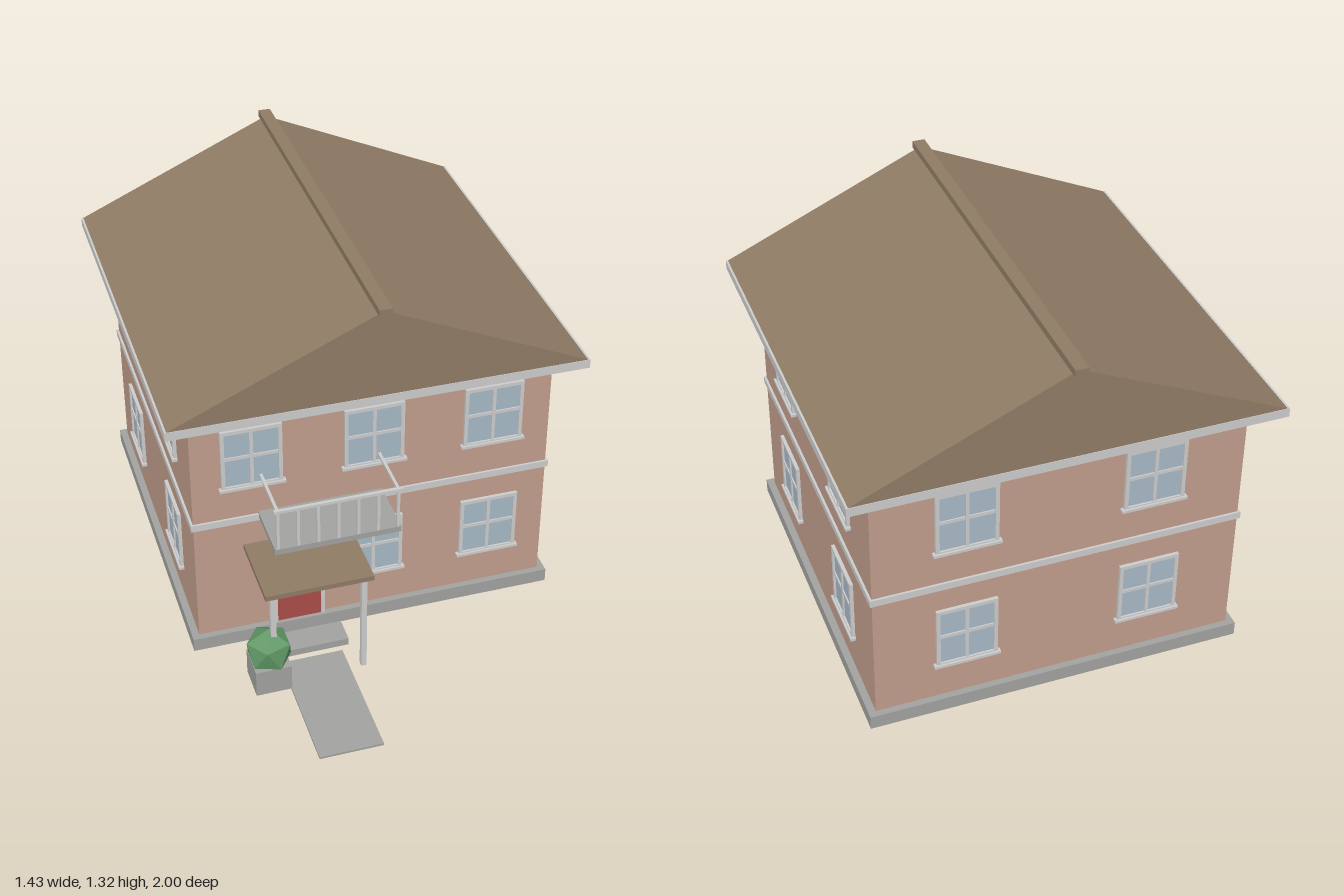
import * as THREE from 'three';

const mat = (name, color) => {
  const m = new THREE.MeshStandardMaterial({ color });
  m.name = name;
  return m;
};

export function createModel() {
  const wall = mat('wall', 0xc09d8b);
  const trim = mat('trim', 0xcbcccb);
  const glass = mat('glass', 0xa6b8c6);
  const roofing = mat('roofing', 0x8f7b65);
  const stone = mat('stone', 0xa1a29f);
  const red = mat('doorRed', 0xa84c47);
  const leaf = mat('leaf', 0x5f9665);
  leaf.flatShading = true;
  const metal = mat('darkMetal', 0x4a4542);

  const house = new THREE.Group();
  house.name = 'house';

  // Box given by its min and max on each axis
  const box = (name, material, [x0, x1], [y0, y1], [z0, z1], parent = house) => {
    const mesh = new THREE.Mesh(new THREE.BoxGeometry(x1 - x0, y1 - y0, z1 - z0), material);
    mesh.position.set((x0 + x1) / 2, (y0 + y1) / 2, (z0 + z1) / 2);
    mesh.name = name;
    parent.add(mesh);
    return mesh;
  };

  const W = 0.625, FRONT = 0.36, BACK = -0.89, MID = (FRONT + BACK) / 2;

  // Body
  box('foundation', stone, [-0.65, 0.65], [0, 0.05], [BACK - 0.023, FRONT + 0.023]);
  box('walls', wall, [-W, W], [0.05, 0.96], [BACK, FRONT]);
  box('floorBand', trim, [-0.633, 0.633], [0.507, 0.532], [BACK - 0.008, FRONT + 0.008]);

  // Roof
  box('eaves', trim, [-0.717, 0.717], [0.957, 0.989], [-0.981, 0.455]);
  const gable = new THREE.Shape([
    new THREE.Vector2(-0.712, 0), new THREE.Vector2(0.712, 0), new THREE.Vector2(0, 0.318),
  ]);
  const roof = new THREE.Mesh(
    new THREE.ExtrudeGeometry(gable, { depth: 1.432, bevelEnabled: false }), roofing);
  roof.position.set(0, 0.988, -0.979);
  roof.name = 'roof';
  house.add(roof);
  box('ridgeCap', roofing, [-0.022, 0.022], [1.298, 1.322], [-1, 0.47]);

  // Window facing +z, origin at its centre on the wall
  const addWindow = (x, y, z, turn) => {
    const g = new THREE.Group();
    g.name = 'window';
    const w = 0.104, h = 0.117, t = 0.013, d = 0.012;
    box('pane', glass, [-w + t, w - t], [-h + t, h - t], [0, 0.005], g);
    for (const s of [-1, 1]) {
      const side = [s * w, s * (w - t)].sort((a, b) => a - b);
      const rail = [s * h, s * (h - t)].sort((a, b) => a - b);
      box('frameSide', trim, side, [-h, h], [0, d], g);
      box('frameRail', trim, [-w + t, w - t], rail, [0, d], g);
    }
    box('mullion', trim, [-0.006, 0.006], [-h + t, h - t], [0, 0.01], g);
    box('glazingBar', trim, [-w + t, w - t], [0, 0.012], [0, 0.0095], g);
    box('sill', trim, [-0.113, 0.113], [-h - 0.002, -h + 0.008], [0, 0.019], g);
    g.position.set(x, y, z);
    g.rotation.y = turn;
    house.add(g);
  };
  for (const y of [0.303, 0.772]) {
    for (const x of [-0.42, 0, 0.42]) {
      if (x >= 0 || y > 0.5) addWindow(x, y, FRONT, 0);
    }
    for (const s of [-1, 1]) {
      addWindow(s * 0.3145, y, BACK, Math.PI);
      addWindow(W, y, MID + s * 0.3145, Math.PI / 2);
      addWindow(-W, y, MID + s * 0.3145, -Math.PI / 2);
    }
  }

  // Door
  const DX = -0.268;
  for (const s of [-1, 1]) {
    const c = DX + s * 0.085;
    box('doorJamb', trim, [c - 0.007, c + 0.007], [0.05, 0.345], [FRONT, FRONT + 0.014]);
  }
  box('doorHead', trim, [DX - 0.078, DX + 0.078], [0.332, 0.345], [FRONT, FRONT + 0.014]);
  box('door', red, [DX - 0.078, DX + 0.078], [0.05, 0.332], [FRONT, FRONT + 0.01]);
  box('doorPane', glass, [DX - 0.05, DX + 0.05], [0.188, 0.286], [FRONT + 0.008, FRONT + 0.013]);
  const knob = new THREE.Mesh(new THREE.SphereGeometry(0.006, 10, 8), metal);
  knob.position.set(-0.222, 0.16, FRONT + 0.015);
  knob.name = 'doorKnob';
  house.add(knob);

  // Porch canopy, step and path
  box('canopy', roofing, [-0.456, -0.084], [0.391, 0.41], [FRONT, 0.643]);
  for (const s of [-1, 1]) {
    const c = DX + s * 0.157;
    box('porchPost', trim, [c - 0.0095, c + 0.0095], [0, 0.391], [0.602, 0.621]);
  }
  box('step', stone, [-0.405, -0.13], [0, 0.027], [0.41, 0.505]);
  box('path', stone, [-0.38, -0.162], [0, 0.008], [0.535, 1]);

  // Planter with a faceted shrub
  box('planter', stone, [-0.5, -0.376], [0, 0.1], [0.533, 0.659]);
  const shrub = new THREE.Mesh(
    new THREE.IcosahedronGeometry(0.085, 0).rotateZ(Math.atan(2 / (1 + Math.sqrt(5)))), leaf);
  shrub.position.set(-0.438, 0.145, 0.598);
  shrub.name = 'shrub';
  house.add(shrub);

  // Balcony
  const balcony = new THREE.Group();
  balcony.name = 'balcony';
  house.add(balcony);
  box('balconyFloor', stone, [-0.402, 0.03], [0.519, 0.54], [FRONT, 0.575], balcony);
  box('frontRail', trim, [-0.403, 0.033], [0.687, 0.697], [0.565, 0.577], balcony);
  for (const x of [-0.39, 0.018]) {
    box('sideRail', trim, [x - 0.005, x + 0.005], [0.687, 0.696], [FRONT, 0.566], balcony);
  }
  for (let i = 0; i < 7; i++) {
    const x = -0.39 + i * 0.068;
    box('baluster', trim, [x - 0.005, x + 0.005], [0.54, 0.688], [0.566, 0.575], balcony);
  }

  return house;
}
